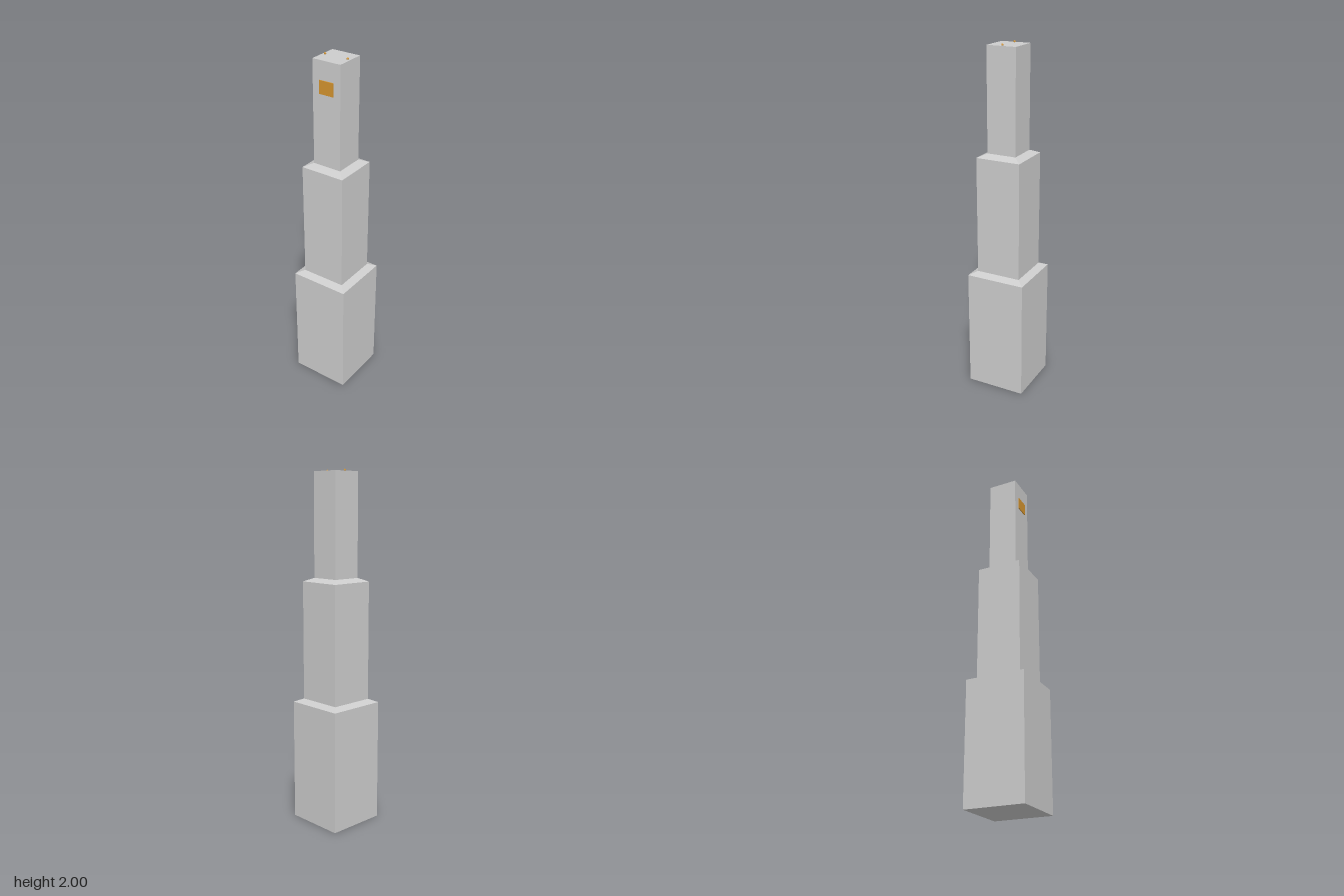
import * as THREE from 'three';

export function createModel() {
  const model = new THREE.Group();
  model.name = 'steppedTower';

  const stone = new THREE.MeshStandardMaterial({ color: 0xcccccc });
  stone.name = 'light grey stone';
  const amber = new THREE.MeshStandardMaterial({ color: 0xd4942f });
  amber.name = 'amber';

  function add(name, geometry, material, x = 0, y = 0, z = 0) {
    const mesh = new THREE.Mesh(geometry, material);
    mesh.name = name;
    mesh.position.set(x, y, z);
    model.add(mesh);
    return mesh;
  }

  // Square section with flat faces; half widths at its bottom and top
  function square(halfBottom, halfTop, y0, y1) {
    const r = Math.SQRT2;
    const g = new THREE.CylinderGeometry(halfTop * r, halfBottom * r, y1 - y0, 4)
      .rotateY(Math.PI / 4)
      .translate(0, (y0 + y1) / 2, 0)
      .toNonIndexed();
    g.computeVertexNormals();
    return g;
  }

  // Three shafts, each stepping in over a sloped shoulder
  const tiers = [
    { name: 'lower', half: 0.172, y0: 0, y1: 0.698, shoulder: 0.717 },
    { name: 'middle', half: 0.13, y0: 0.717, y1: 1.392, shoulder: 1.412 },
    { name: 'upper', half: 0.085, y0: 1.412, y1: 1.99 },
  ];
  tiers.forEach((t, i) => {
    add(t.name + 'Shaft', square(t.half, t.half, t.y0, t.y1), stone);
    if (t.shoulder) {
      add(t.name + 'Shoulder', square(t.half, tiers[i + 1].half, t.y1, t.shoulder), stone);
    }
  });

  // Thin plate on the front of the upper shaft
  add('frontPanel', new THREE.BoxGeometry(0.085, 0.073, 0.008), amber, 0, 1.851, 0.086);

  // Small beacons on the roof
  for (const side of [-1, 1]) {
    add(side > 0 ? 'leftBeacon' : 'rightBeacon',
      new THREE.SphereGeometry(0.006, 12, 8), amber, side * 0.069, 1.994, 0);
  }

  return model;
}
